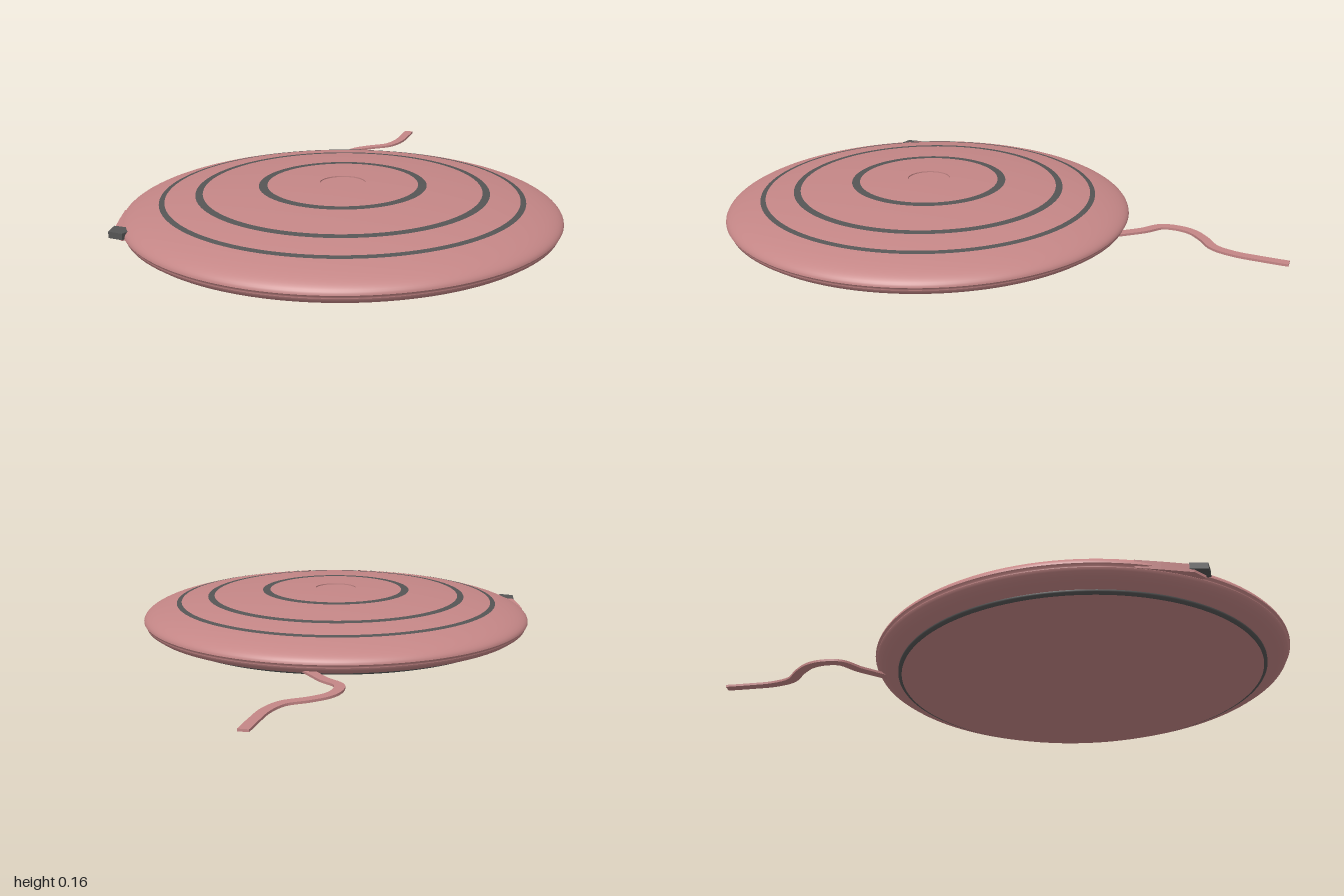
import * as THREE from 'three';

const CENTRE_Z = 0.28, R = 0.72, RIM_Y = 0.057, DOME = 0.106, SEG = 128;
const pink = new THREE.MeshStandardMaterial({ color: 0xc48686, side: THREE.DoubleSide });
const dark = new THREE.MeshStandardMaterial({ color: 0x555555, side: THREE.DoubleSide });

// Height of the elliptical dome at a given radius
const domeY = (r) => RIM_Y + DOME * Math.sqrt(Math.max(0, 1 - (r / R) ** 2));

function domeProfile(r0, r1, steps, lift = 0) {
  const a0 = Math.asin(r0 / R), a1 = Math.asin(Math.min(1, r1 / R));
  return Array.from({ length: steps + 1 }, (_, i) => {
    const r = R * Math.sin(a1 + (a0 - a1) * i / steps);
    return [r, domeY(r) + lift];
  });
}

function add(parent, name, geometry, material) {
  const mesh = new THREE.Mesh(geometry, material);
  mesh.name = name;
  parent.add(mesh);
  return mesh;
}

const lathe = (points) =>
  new THREE.LatheGeometry(points.map(([r, y]) => new THREE.Vector2(r, y)), SEG);

// Plan outline in x and z, extruded between two heights
function slab(outline, bottom, top) {
  const shape = new THREE.Shape(outline.map(([x, z]) => new THREE.Vector2(x, z)));
  const g = new THREE.ExtrudeGeometry(shape, { depth: top - bottom, bevelEnabled: false });
  return g.rotateX(Math.PI / 2).translate(0, top, 0);
}

export function createModel() {
  const model = new THREE.Group();
  model.name = 'chargingPad';

  const body = new THREE.Group();
  body.name = 'body';
  body.position.z = CENTRE_Z;
  model.add(body);

  // Domed top with a shallow dimple in the middle
  add(body, 'dome', lathe(domeProfile(0.075, R, 32)), pink);
  const rimY = domeY(0.075), floorY = rimY - 0.004;
  add(body, 'dimpleWall', lathe([[0.075, floorY], [0.075, rimY]]), pink);
  add(body, 'dimpleFloor', new THREE.CircleGeometry(0.075, 48)
    .rotateX(-Math.PI / 2).translate(0, floorY, 0), pink);

  // Dark inlaid rings following the dome
  for (const [inner, outer] of [[0.247, 0.275], [0.457, 0.481], [0.58, 0.598]]) {
    add(body, 'inlayRing', lathe(domeProfile(inner, outer, 4, 0.001)), dark);
  }

  // Seam, curved underside and flat foot
  add(body, 'rimSeam', lathe([[0.714, 0.046], [0.714, 0.05], [R, RIM_Y]]), pink);
  add(body, 'underside', lathe([[0.64, 0.012], [0.668, 0.016], [0.694, 0.026],
    [0.71, 0.037], [0.714, 0.046]]), pink);
  add(body, 'footEdge', lathe([[0.628, 0], [0.64, 0.005], [0.64, 0.012]]), dark);
  add(body, 'foot', new THREE.CircleGeometry(0.628, SEG).rotateX(Math.PI / 2), pink);

  // Small side switch with a fairing running into the rim
  add(model, 'switchFairing', slab([[-0.702, 0.42], [-0.688, 0.5], [-0.668, 0.6],
    [-0.63, 0.64], [-0.6, 0.6], [-0.66, 0.42]], 0.047, 0.074), pink);
  add(model, 'switch', slab([[-0.674, 0.585], [-0.672, 0.642], [-0.622, 0.656],
    [-0.6, 0.6]], 0.056, 0.077), dark);

  // Flat wavy cord, swept as a thin rectangle
  const path = new THREE.CatmullRomCurve3([[0.0, -0.4], [-0.036, -0.45], [-0.07, -0.495],
    [-0.125, -0.55], [-0.127, -0.61], [-0.105, -0.66], [-0.055, -0.705], [0.012, -0.75],
    [0.047, -0.82], [0.063, -0.91], [0.074, -1]].map(([x, z]) => new THREE.Vector3(x, 0, z)));
  const left = [], right = [];
  for (let i = 0; i <= 70; i++) {
    const p = path.getPointAt(i / 70), t = path.getTangentAt(i / 70);
    left.push([p.x - t.z * 0.017, p.z + t.x * 0.017]);
    right.unshift([p.x + t.z * 0.017, p.z - t.x * 0.017]);
  }
  const clampBack = ([x, z]) => [x, Math.max(z, -1)];
  add(model, 'cord', slab([...left, ...right].map(clampBack), 0.023, 0.031), pink);

  return model;
}
